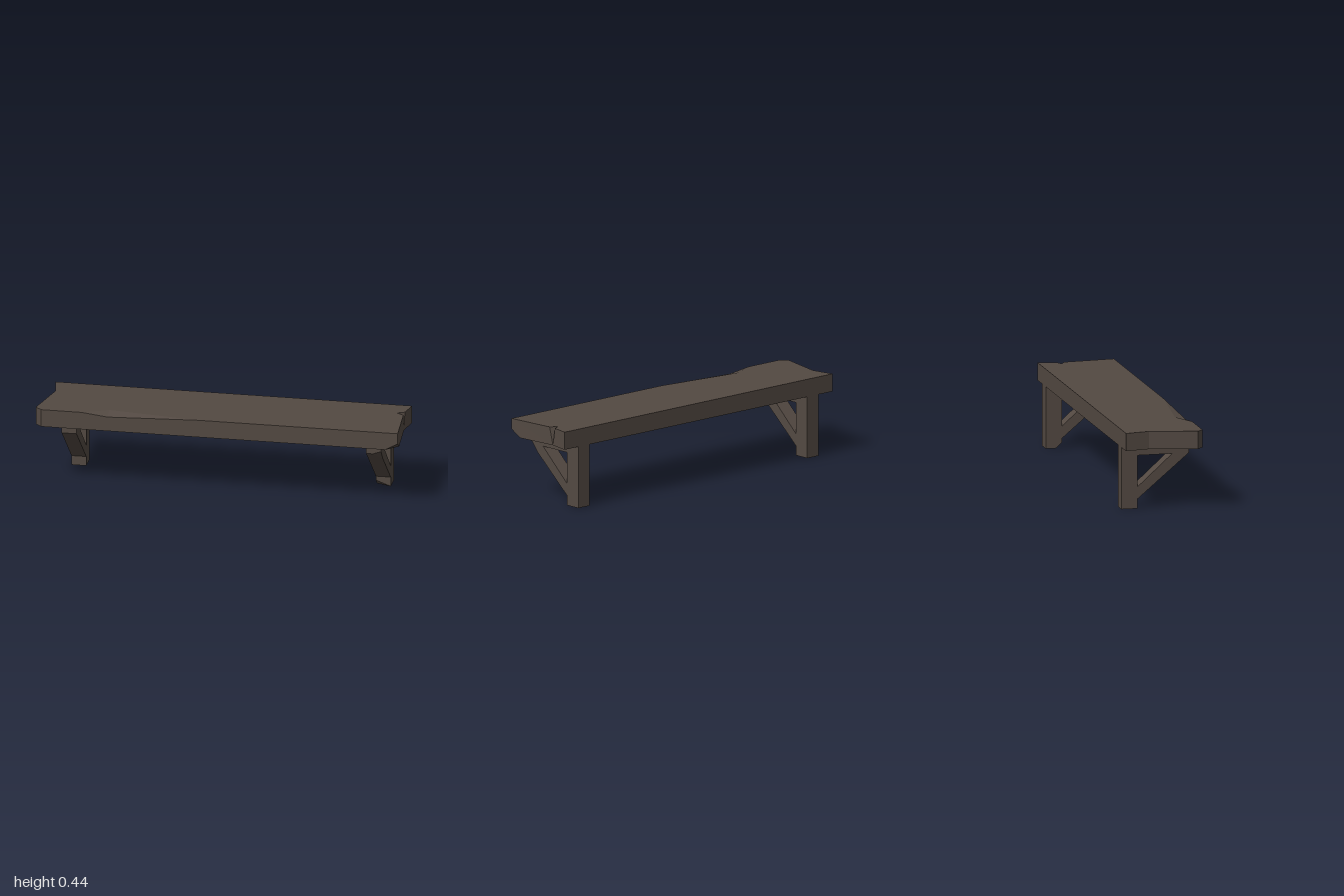
import * as THREE from 'three';

const wood = new THREE.MeshStandardMaterial({ color: 0x534942 });
wood.name = 'darkWood';

// Flat-faced mesh from polygons; each is { ring, hole } with corners counter-clockwise from outside
function facetedMesh(name, faces) {
  const out = [];
  for (const { ring, hole } of faces) {
    const normal = new THREE.Vector3();
    ring.forEach((p, i) => normal.add(p.clone().cross(ring[(i + 1) % ring.length])));
    const [ax, ay, az] = normal.toArray().map(Math.abs);
    const flat = (p) => ax >= ay && ax >= az ? new THREE.Vector2(p.y, p.z)
      : ay >= az ? new THREE.Vector2(p.z, p.x) : new THREE.Vector2(p.x, p.y);
    const pts = hole ? [...ring, ...hole] : ring;
    const tris = THREE.ShapeUtils.triangulateShape(ring.map(flat), hole ? [hole.map(flat)] : []);
    for (const [i, j, k] of tris) {
      const [a, b, c] = [pts[i], pts[j], pts[k]];
      const n = b.clone().sub(a).cross(c.clone().sub(a));
      for (const p of n.dot(normal) >= 0 ? [a, b, c] : [a, c, b]) out.push(p.x, p.y, p.z);
    }
  }
  const geometry = new THREE.BufferGeometry();
  geometry.setAttribute('position', new THREE.Float32BufferAttribute(out, 3));
  geometry.computeVertexNormals();
  const mesh = new THREE.Mesh(geometry, wood);
  mesh.name = name;
  return mesh;
}

// Plank with ragged ends, a notch, and chipped front edges
function createPlank() {
  const top = (x, z) => new THREE.Vector3(x, 0.44, z);
  const low = (p) => new THREE.Vector3(p.x, 0.342, p.z);
  const a = top(-0.965, -0.213), b = top(-0.94, -0.08), c = top(-1, 0.18), d = top(-0.965, 0.213);
  const e = top(1, 0.213), f = top(1, -0.213);
  // shallow chip on the top front edge
  const chipL = top(-0.74, 0.213), chipIn = top(-0.6, 0.15), chipR = top(-0.1, 0.213);
  const chipLow = new THREE.Vector3(-0.6, 0.423, 0.213);
  // notch in the left end
  const n1 = top(0.979, -0.07), nIn = top(0.937, -0.093), n2 = top(0.979, -0.113);
  const n0 = new THREE.Vector3(0.977, 0.342, -0.095);
  // broken lower front corner
  const q = new THREE.Vector3(1, 0.381, 0.213);
  const p1 = new THREE.Vector3(0.93, 0.342, 0.213), p2 = new THREE.Vector3(0.996, 0.342, 0.148);
  const [al, bl, cl, dl, fl] = [a, b, c, d, f].map(low);
  return facetedMesh('shelfPlank', [
    [a, b, c, d, chipL, chipIn, chipR, e, n1, nIn, n2, f],
    [fl, n0, p2, p1, dl, cl, bl, al],
    [a, al, bl, b], [b, bl, cl, c], [c, cl, dl, d],
    [d, dl, p1, q, e, chipR, chipLow, chipL],
    [chipL, chipLow, chipIn], [chipIn, chipLow, chipR],
    [e, q, p2, n0, n1], [q, p1, p2],
    [n1, n0, nIn], [nIn, n0, n2], [n2, n0, fl, f],
    [f, fl, al, a],
  ].map((ring) => ({ ring })));
}

// Triangular bracket between x0 and x1; chip widths cut the beam nose and the foot
function createBracket(name, x0, x1, noseChip, footChip) {
  const at = (x) => ([z, y]) => new THREE.Vector3(x, y, z);
  const outline = [[-0.123, 0], [-0.213, 0], [-0.213, 0.342], [0.163, 0.342],
    [0.163, 0.31], [0.113, 0.252], [-0.123, 0.053]];
  const opening = [[0.07, 0.294], [-0.123, 0.294], [-0.123, 0.12]];
  const nose = [0.163, 0.294];
  const near = outline.map(at(x1)), far = outline.map(at(x0));
  const holeNear = opening.map(at(x1)), holeFar = opening.map(at(x0));
  const noseFar = at(x0)(nose), noseMid = at(x1 - noseChip)(nose);
  const foot = footChip ? [at(x0)([-0.123, footChip]), at(x0)([-0.155, 0])] : [far[0]];
  const faces = [
    { ring: near, hole: holeNear },
    { ring: [...foot, ...far.slice(1, 5), noseFar, ...far.slice(5)].reverse(), hole: holeFar },
    // foot underside and front
    { ring: [near[0], foot[foot.length - 1], far[1], near[1]] },
    { ring: [near[6], far[6], foot[0], near[0]] },
    // beam nose
    { ring: [near[4], far[4], noseFar, noseMid] },
    { ring: [noseMid, noseFar, far[5], near[5]] },
    { ring: [near[4], noseMid, near[5]] },
  ];
  if (footChip) faces.push({ ring: [near[0], foot[0], foot[1]] });
  for (const i of [1, 2, 3, 5]) faces.push({ ring: [near[i], far[i], far[i + 1], near[i + 1]] });
  for (let i = 0; i < 3; i++) {
    const j = (i + 1) % 3;
    faces.push({ ring: [holeNear[i], holeFar[i], holeFar[j], holeNear[j]] });
  }
  return facetedMesh(name, faces);
}

export function createModel() {
  const model = new THREE.Group();
  model.name = 'wallShelf';
  model.add(
    createPlank(),
    createBracket('leftBracket', 0.817, 0.899, 0.045, 0.03),
    createBracket('rightBracket', -0.861, -0.779, 0, 0),
  );
  return model;
}
